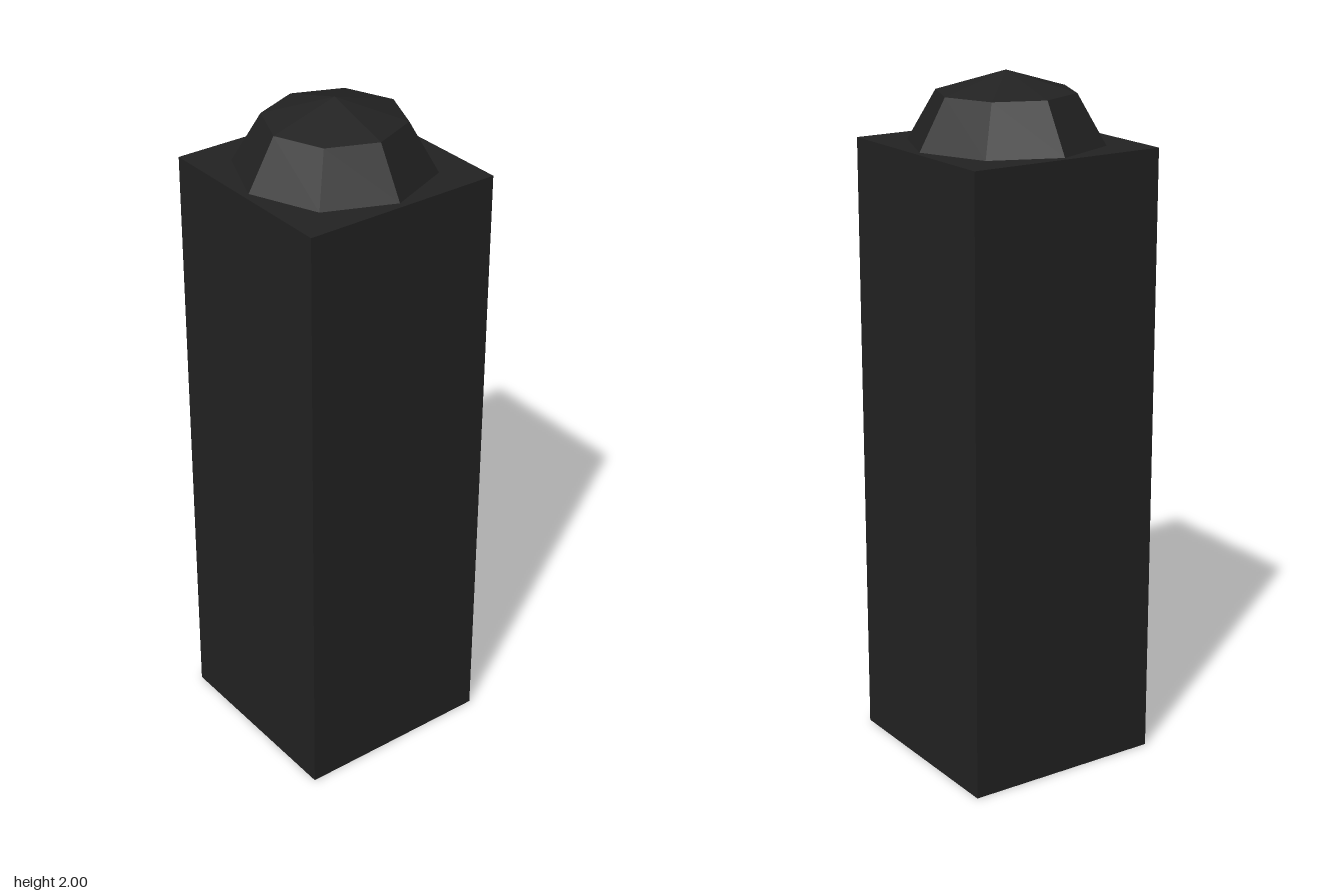
import * as THREE from 'three';

export function createModel() {
  const model = new THREE.Group();
  model.name = 'bollard';

  const charcoal = new THREE.MeshStandardMaterial({ color: 0x222222, flatShading: true });
  charcoal.name = 'charcoal';

  // Square post standing on the ground
  const post = new THREE.Mesh(new THREE.BoxGeometry(0.6, 1.8, 0.6), charcoal);
  post.name = 'post';
  post.position.y = 0.9;
  model.add(post);

  // Flattened eight-sided half dome on top
  const domeShape = new THREE.SphereGeometry(0.28, 8, 2, 0, Math.PI * 2, 0, Math.PI / 2);
  domeShape.scale(1, 0.2 / 0.28, 1);
  const dome = new THREE.Mesh(domeShape, charcoal);
  dome.name = 'domeCap';
  dome.position.y = 1.8;
  model.add(dome);

  return model;
}
